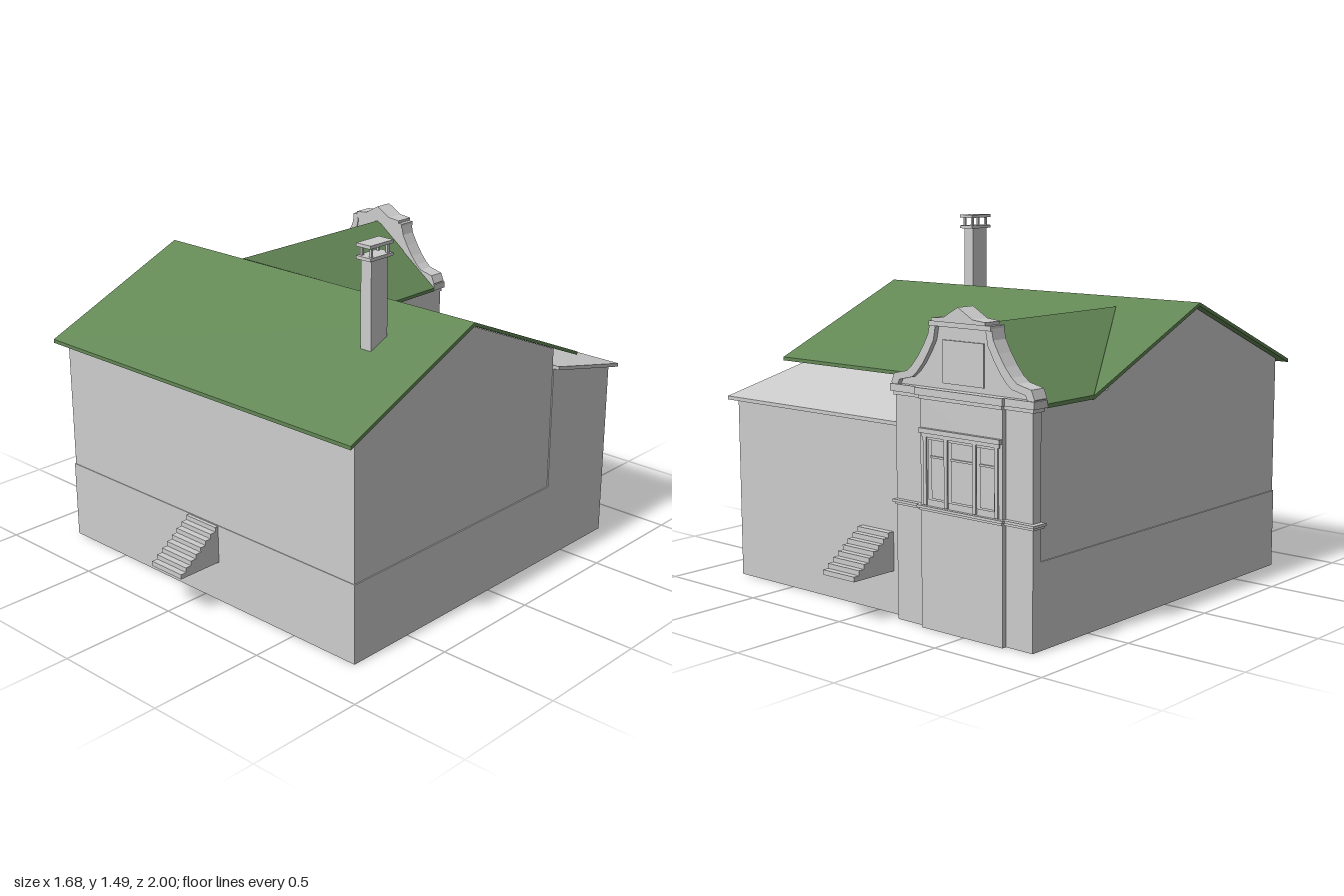
import * as THREE from 'three';

export function createModel() {
  const model = new THREE.Group();
  const wallGrey = new THREE.MeshStandardMaterial({ color: 0xcccccc });
  const roofGreen = new THREE.MeshStandardMaterial({ color: 0x638755 });
  wallGrey.name = 'wall grey';
  roofGreen.name = 'roof green';

  const add = (name, geometry, material = wallGrey, parent = model) => {
    const mesh = new THREE.Mesh(geometry, material);
    mesh.name = name;
    parent.add(mesh);
    return mesh;
  };
  // Box given by its limits
  const block = (name, x0, x1, y0, y1, z0, z1, parent) => {
    const g = new THREE.BoxGeometry(x1 - x0, y1 - y0, z1 - z0);
    g.translate((x0 + x1) / 2, (y0 + y1) / 2, (z0 + z1) / 2);
    return add(name, g, wallGrey, parent);
  };
  const shapeOf = (pts) => new THREE.Shape(pts.map(([a, b]) => new THREE.Vector2(a, b)));
  // Profile of [z, y] points run along x
  const alongX = (pts, x0, x1) =>
    new THREE.ExtrudeGeometry(shapeOf(pts.map(([z, y]) => [-z, y])), { depth: x1 - x0, bevelEnabled: false })
      .rotateY(Math.PI / 2).translate(x0, 0, 0);
  // Profile of [x, y] points run along z, with rectangular holes [x0, x1, y0, y1]
  const alongZ = (pts, z0, z1, holes = []) => {
    const s = shapeOf(pts);
    for (const [a, b, c, d] of holes) s.holes.push(shapeOf([[a, c], [a, d], [b, d], [b, c]]));
    return new THREE.ExtrudeGeometry(s, { depth: z1 - z0, bevelEnabled: false }).translate(0, 0, z0);
  };
  // Sloping slab: a flat convex polygon with vertical thickness
  const slab = (corners, t) => {
    let area = 0;
    corners.forEach((p, i) => {
      const q = corners[(i + 1) % corners.length];
      area += p[0] * q[2] - q[0] * p[2];
    });
    const top = area < 0 ? corners : [...corners].reverse();
    const low = top.map(([x, y, z]) => [x, y - t, z]);
    const pos = [];
    const tri = (a, b, c) => pos.push(...a, ...b, ...c);
    for (let i = 0; i < top.length; i++) {
      const j = (i + 1) % top.length;
      if (i > 0 && j > 0) {
        tri(top[0], top[i], top[j]);
        tri(low[0], low[j], low[i]);
      }
      tri(top[i], low[i], low[j]);
      tri(top[i], low[j], top[j]);
    }
    const g = new THREE.BufferGeometry();
    g.setAttribute('position', new THREE.Float32BufferAttribute(pos, 3));
    g.computeVertexNormals();
    return g;
  };

  // Plinth: thin walls, open underneath
  const P = 0.33, T = 0.006;
  block('plinthFront', -0.815, 0.815, 0, P, 0.8 - T, 0.8);
  block('plinthBack', -0.815, 0.815, 0, P, -0.785, -0.785 + T);
  for (const s of [-1, 1]) {
    const x = s * (0.815 - T / 2);
    block('plinthSide', x - T / 2, x + T / 2, 0, P, -0.785 + T, 0.8 - T);
  }
  block('plinthInnerWall', -0.148, -0.142, 0, P, -0.779, -0.385);

  // Main storey, tower storey and lean-to
  add('mainWalls', alongX([[0.797, P], [0.797, 0.905], [0.17, 1.172], [-0.385, 0.937], [-0.385, P]], -0.81, 0.81));
  add('towerWalls', alongZ([[-0.81, P], [-0.145, P], [-0.145, 0.89], [-0.49, 1.14], [-0.81, 0.905]], -0.785, -0.385));
  add('leanToWalls', alongX([[-0.385, P], [-0.385, 0.852], [-0.785, 0.76], [-0.785, P]], -0.145, 0.815));

  // Roofs
  const R = 0.015;
  for (const [z, name] of [[0.85, 'frontRoof'], [-0.51, 'backRoof']])
    add(name, slab([[-0.84, 1.19, 0.17], [0.84, 1.19, 0.17], [0.84, 0.9, z], [-0.84, 0.9, z]], R), roofGreen);
  for (const s of [-1, 1]) {
    const x = -0.49 + s * 0.35;
    add('towerRoof', slab([[-0.49, 1.158, 0.09], [-0.49, 1.158, -0.78], [x, 0.903, -0.78], [x, 0.903, -0.51]], R), roofGreen);
  }
  add('leanToRoof', slab([[-0.14, 0.867, -0.385], [0.84, 0.867, -0.385], [0.84, 0.767, -0.82], [-0.14, 0.767, -0.82]], R));

  // Chimney with a raised cap on four legs
  const chimney = new THREE.Group();
  chimney.name = 'chimney';
  model.add(chimney);
  block('stack', 0.508, 0.56, 1.02, 1.428, 0.345, 0.437, chimney);
  block('lowerCap', 0.498, 0.57, 1.428, 1.441, 0.327, 0.453, chimney);
  block('upperCap', 0.498, 0.57, 1.476, 1.489, 0.327, 0.453, chimney);
  for (const x of [0.506, 0.552])
    for (const z of [0.34, 0.43]) block('capLeg', x, x + 0.01, 1.441, 1.476, z, z + 0.01, chimney);

  // Stairs, front and back
  const N = 8;
  for (const [s, wall] of [[1, 0.79], [-1, 0.78]]) {
    const profile = [[s * wall, 0.17], [s, 0.17]];
    for (let i = 0; i < N; i++) {
      const y = 0.19 + i * 0.0195;
      profile.push([s * (1 - i * 0.0265), y], [s * (1 - (i + 1) * 0.0265), y]);
    }
    profile[profile.length - 1][0] = s * wall;
    add('stairs', alongX(profile, -0.085, 0.085));
  }

  // Tower facade, built around x = 0
  const facade = new THREE.Group();
  facade.name = 'facade';
  facade.position.x = -0.49;
  model.add(facade);
  const put = (name, geometry) => add(name, geometry, wallGrey, facade);

  // Curved gable with a coping along its edge
  const half = [[0.34, 0.915], [0.325, 0.95], [0.26, 0.965], [0.235, 0.985], [0.205, 1.02], [0.175, 1.065], [0.15, 1.11], [0.14, 1.16]];
  const left = half.map(([x, y]) => [-x, y]);
  put('gable', alongZ([[-0.325, 0], [-0.325, 0.915], ...left, ...[...half].reverse(), [0.345, 0.915], [0.345, 0]], -0.825, -0.78));
  for (const s of [-1, 1]) {
    const outer = half.map(([x, y]) => [s * (x + 0.008), y + 0.008]);
    const inner = half.map(([x, y]) => [s * (x - 0.018), y - 0.014]).reverse();
    put('coping', alongZ([...outer, ...inner], -0.845, -0.776));
  }
  block('gablePanel', -0.1, 0.1, 0.94, 1.1, -0.832, -0.82, facade);
  block('gableLedge', -0.15, 0.15, 1.15, 1.168, -0.85, -0.775, facade);
  put('gablePediment', alongZ([[-0.13, 1.168], [0.13, 1.168], [0.13, 1.18], [0.07, 1.186], [0, 1.226], [-0.07, 1.186], [-0.13, 1.18]], -0.857, -0.775));

  // Projecting centre with three windows
  const windows = [[-0.16, -0.08], [-0.06, 0.06], [0.08, 0.16]];
  put('centreBay', alongZ([[-0.2, 0], [-0.2, 0.89], [0.2, 0.89], [0.2, 0]], -0.845, -0.82,
    windows.map(([a, b]) => [a, b, 0.5, 0.725])));
  for (const [a, b] of windows) {
    block('windowPane', a, b, 0.5, 0.725, -0.829, -0.824, facade);
    block('windowBar', a, b, 0.655, 0.663, -0.835, -0.828, facade);
  }
  for (const x of [-0.175, -0.07, 0.07, 0.175])
    block('windowPilaster', x - 0.008, x + 0.008, 0.478, 0.74, -0.851, -0.844, facade);
  block('windowLintel', -0.19, 0.19, 0.735, 0.75, -0.852, -0.844, facade);
  block('windowHood', -0.198, 0.198, 0.75, 0.768, -0.86, -0.844, facade);

  // Cornices in two steps, stepping forward over the centre
  for (const [name, y, h, out] of [['sillBand', 0.455, 0.01, 0], ['sillBand', 0.465, 0.01, 0.008],
    ['cornice', 0.875, 0.015, 0], ['cornice', 0.89, 0.028, 0.012]]) {
    block(name, -0.338 - out, 0.344 + out / 2, y, y + h, -0.838 - out, -0.776, facade);
    block(name + 'Centre', -0.202 - out, 0.202 + out, y, y + h, -0.851 - out, -0.8, facade);
  }
  return model;
}
